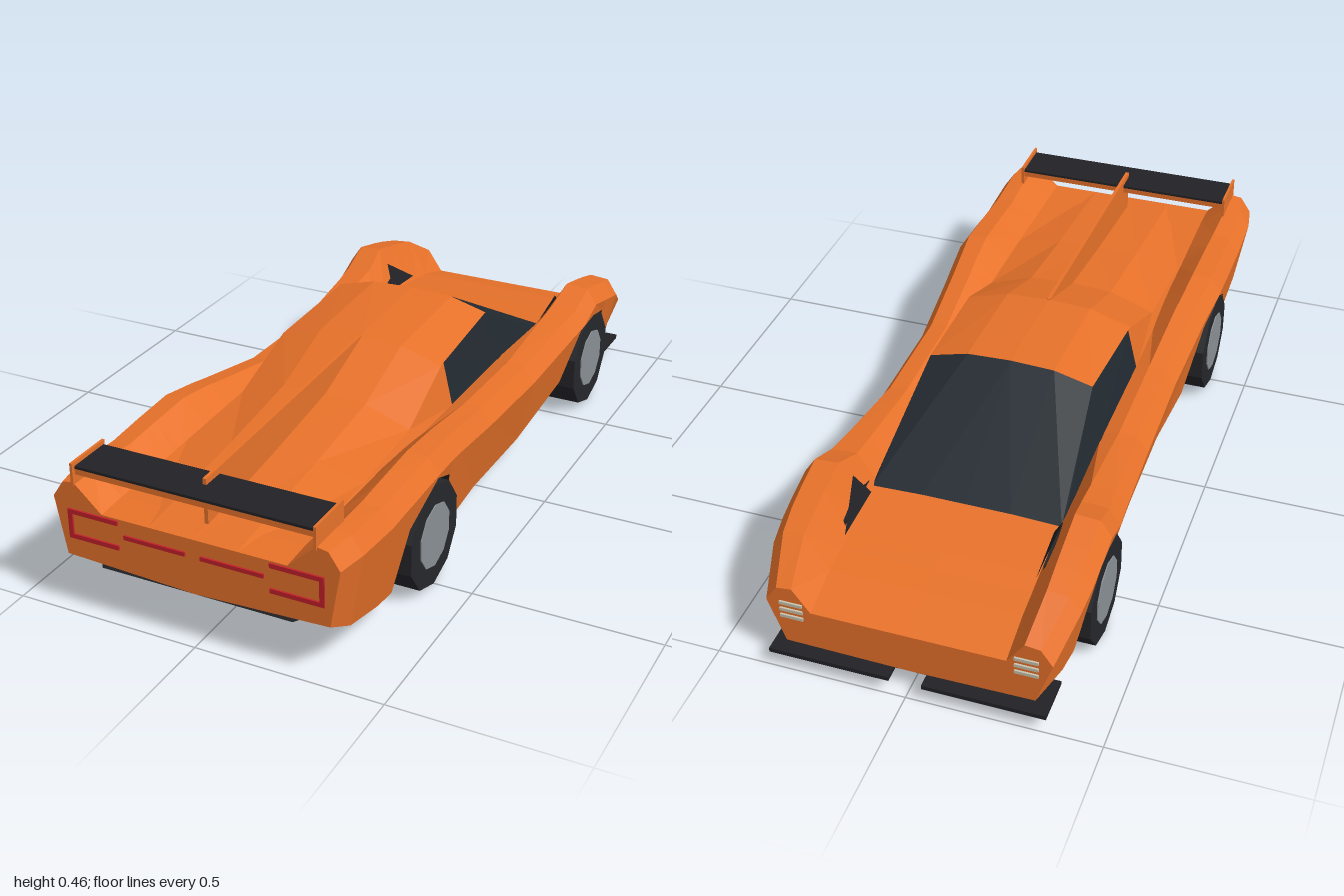
import * as THREE from 'three';

const mat = (color, side = THREE.FrontSide) =>
  new THREE.MeshStandardMaterial({ color, flatShading: true, side });
const orange = mat(0xe8722a, THREE.DoubleSide);
const dark = mat(0x222226, THREE.DoubleSide);
const glass = mat(0x222930, THREE.DoubleSide);
const tyre = mat(0x26272b);
const hub = mat(0x8a9096);
const red = mat(0xc4202a);
const lamp = mat(0xc8c4b0);

export function createModel() {
  const car = new THREE.Group();

  function add(name, geometry, material, x = 0, y = 0, z = 0, parent = car) {
    const mesh = new THREE.Mesh(geometry, material);
    mesh.name = name;
    mesh.position.set(x, y, z);
    parent.add(mesh);
    return mesh;
  }
  const box = (name, material, w, h, d, x, y, z) =>
    add(name, new THREE.BoxGeometry(w, h, d), material, x, y, z);

  // Skin between half-sections (points from the centre line outwards), mirrored to both sides
  function skin(sections, from, to) {
    const pos = [];
    for (let s = 0; s + 1 < sections.length; s++) {
      for (let i = from; i < to; i++) {
        const a = sections[s][i], b = sections[s][i + 1];
        const c = sections[s + 1][i + 1], d = sections[s + 1][i];
        const flip = ([x, y, z]) => [-x, y, z];
        pos.push(...a, ...b, ...c, ...a, ...c, ...d);
        pos.push(...[b, a, c, c, a, d].flatMap(flip));
      }
    }
    const g = new THREE.BufferGeometry();
    g.setAttribute('position', new THREE.Float32BufferAttribute(pos, 3));
    g.computeVertexNormals();
    return g;
  }

  // Body stations, tail to nose: z, half width, fender top, deck, sill, floor, fender inner x
  const body = [
    [0.985, 0.385, 0.355, 0.285, 0.15, 0.135, 0.325],
    [0.9, 0.4, 0.355, 0.29, 0.105, 0.1, 0.325],
    [0.75, 0.402, 0.345, 0.29, 0.065, 0.06, 0.32],
    [0.67, 0.403, 0.35, 0.29, 0.055, 0.05, 0.32],
    [0.63, 0.404, 0.352, 0.29, 0.22, 0.05, 0.32],
    [0.5, 0.405, 0.358, 0.29, 0.3, 0.05, 0.32],
    [0.39, 0.395, 0.345, 0.285, 0.25, 0.05, 0.315],
    [0.33, 0.39, 0.335, 0.28, 0.05, 0.05, 0.31],
    [0.1, 0.376, 0.298, 0.28, 0.05, 0.05, 0.3],
    [-0.2, 0.38, 0.288, 0.27, 0.05, 0.05, 0.3],
    [-0.46, 0.395, 0.315, 0.25, 0.12, 0.05, 0.3],
    [-0.54, 0.402, 0.325, 0.245, 0.26, 0.05, 0.3],
    [-0.63, 0.405, 0.36, 0.235, 0.275, 0.05, 0.31],
    [-0.72, 0.404, 0.34, 0.225, 0.255, 0.05, 0.31],
    [-0.78, 0.402, 0.325, 0.215, 0.055, 0.05, 0.31],
    [-0.85, 0.395, 0.305, 0.205, 0.055, 0.05, 0.31],
    [-0.97, 0.365, 0.235, 0.17, 0.06, 0.055, 0.295],
  ].map(([z, w, f, d, s, b, xi]) => [
    [0, d, z], [0.25, d, z], [xi, f, z], [w - 0.03, f - 0.005, z], [w, f - 0.05, z],
    [w - 0.045 * Math.max(0, 0.31 - s) / 0.26, s, z],
    [0.26, s, z], [0.26, b, z], [0, b, z],
  ]);
  add('bodyShell', skin(body, 0, 5), orange);
  add('floorAndWheelWells', skin(body, 5, 8), dark);

  // Flat tail and nose panels
  function panel(section) {
    const half = section.filter((p, i) => i !== 6 && i !== 7);
    const ring = [...half, ...half.slice(1, -1).reverse().map(([x, y]) => [-x, y])];
    return new THREE.ShapeGeometry(new THREE.Shape(ring.map(([x, y]) => new THREE.Vector2(x, y))));
  }
  add('tailPanel', panel(body[0]), orange, 0, 0, 0.985);
  add('nosePanel', panel(body.at(-1)).rotateY(Math.PI), orange, 0, 0, -0.97);

  // Cabin and fastback: z, then x/y of centre, roof bend, roof edge, base
  const cabin = [
    [0.985, 0.285, 0.285, 0.25, 0.285, 0.255, 0.28],
    [0.6, 0.328, 0.325, 0.25, 0.3, 0.258, 0.285],
    [0.33, 0.366, 0.36, 0.245, 0.315, 0.26, 0.28],
    [0.12, 0.441, 0.435, 0.236, 0.4, 0.262, 0.285],
    [0.1, 0.442, 0.436, 0.235, 0.402, 0.262, 0.285],
    [-0.205, 0.455, 0.45, 0.225, 0.422, 0.26, 0.28],
    [-0.56, 0.25, 0.25, 0.255, 0.245, 0.26, 0.235],
  ].map(([z, y0, y1, x2, y2, x3, y3]) =>
    [[0, y0, z], [0.12, y1, z], [x2, y2, z], [x3, y3, z]]);
  add('roof', skin(cabin.slice(0, 6), 0, 2), orange);
  add('rearPillars', skin(cabin.slice(0, 5), 2, 3), orange);
  add('windscreen', skin(cabin.slice(5), 0, 2), glass);
  add('sideWindows', skin(cabin.slice(4), 2, 3), glass);

  // Centre fin
  const fin = new THREE.Shape([[0.12, 0.443], [0.12, 0.42], [0.33, 0.35], [0.6, 0.31],
    [0.92, 0.285], [0.92, 0.413]].map(([z, y]) => new THREE.Vector2(z, y)));
  const finGeo = new THREE.ExtrudeGeometry(fin, { depth: 0.01, bevelEnabled: false });
  add('centreFin', finGeo.rotateY(-Math.PI / 2).translate(0.005, 0, 0), orange);

  // Rear wing
  box('wingBlade', orange, 0.64, 0.015, 0.12, 0, 0.383, 0.92);
  box('wingTop', dark, 0.64, 0.007, 0.12, 0, 0.394, 0.92);

  for (const s of [1, -1]) {
    const side = s > 0 ? 'left' : 'right';
    box(side + 'WingEndPlate', orange, 0.007, 0.06, 0.135, s * 0.324, 0.378, 0.922);

    // Tail lights: open bracket outside, strip inside
    box(side + 'TailLightTop', red, 0.14, 0.012, 0.01, s * 0.275, 0.275, 0.985);
    box(side + 'TailLightBottom', red, 0.14, 0.012, 0.01, s * 0.275, 0.207, 0.985);
    box(side + 'TailLightSide', red, 0.012, 0.08, 0.01, s * 0.339, 0.241, 0.985);
    box(side + 'TailStrip', red, 0.168, 0.011, 0.01, s * 0.105, 0.241, 0.985);

    // Headlight slats and front splitter
    for (let i = 0; i < 3; i++)
      box(side + 'HeadlightSlat' + i, lamp, 0.06, 0.009, 0.01, s * 0.3, 0.145 + i * 0.021, -0.97);
    box(side + 'Splitter', dark, 0.315, 0.012, 0.12, s * 0.2, 0.042, -0.94);

    // Vent on the inner face of the front fender
    const vent = new THREE.BufferGeometry();
    vent.setAttribute('position', new THREE.Float32BufferAttribute([
      s * 0.25, 0.235, -0.75, s * 0.245, 0.25, -0.59, s * 0.278, 0.32, -0.62], 3));
    vent.computeVertexNormals();
    add(side + 'FenderVent', vent, dark);

    // Ten-sided wheels
    for (const [end, z] of [['Rear', 0.5], ['Front', -0.63]]) {
      const wheel = new THREE.Group();
      wheel.name = side + end + 'Wheel';
      wheel.position.set(s * 0.335, 0.135, z);
      car.add(wheel);
      const disc = (r, w) => new THREE.CylinderGeometry(r, r, w, 10)
        .rotateY(Math.PI / 10).rotateZ(Math.PI / 2);
      add('tyre', disc(0.142, 0.12), tyre, 0, 0, 0, wheel);
      add('hub', disc(0.087, 0.01), hub, s * 0.058, 0, 0, wheel);
    }
  }
  return car;
}
